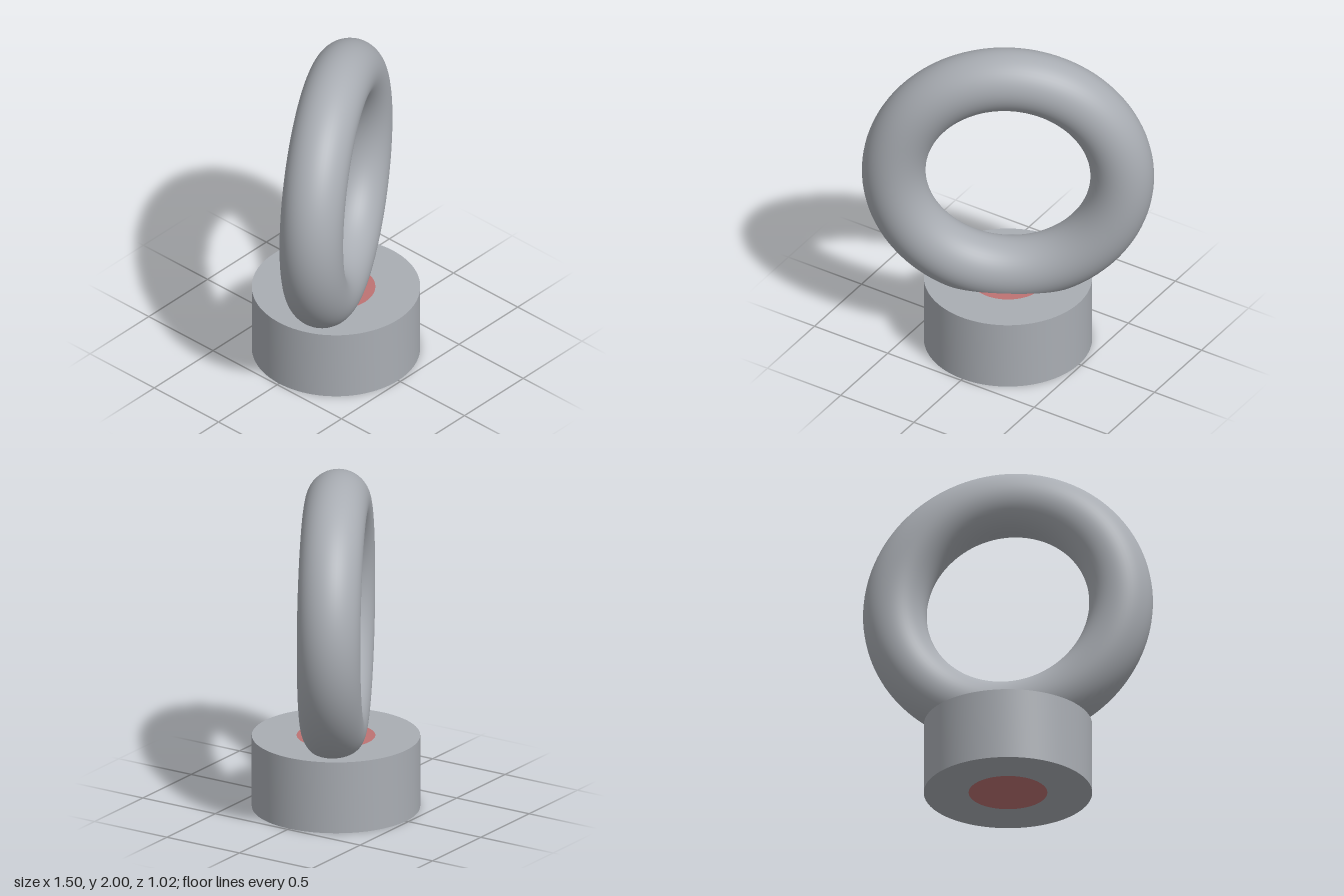
import * as THREE from 'three';
import { toCreasedNormals } from 'three/addons/utils/BufferGeometryUtils.js';

export function createModel() {
  const steel = new THREE.MeshStandardMaterial({ color: 0xa9adb3 });
  steel.name = 'steel grey';
  const red = new THREE.MeshStandardMaterial({ color: 0xbd7272 });
  red.name = 'dusty red';

  const baseRadius = 0.484, baseHeight = 0.43, coreRadius = 0.226;
  const ringRadius = 0.657, tubeRadius = 0.183;

  const model = new THREE.Group();
  model.name = 'eyeNut';
  const add = (name, geometry, material) => {
    const mesh = new THREE.Mesh(geometry, material);
    mesh.name = name;
    model.add(mesh);
    return mesh;
  };

  // Collar: a thick cylinder with a bore through it
  const profile = [
    [coreRadius, 0], [baseRadius, 0], [baseRadius, baseHeight],
    [coreRadius, baseHeight], [coreRadius, 0],
  ].map(([x, y]) => new THREE.Vector2(x, y));
  add('collar', toCreasedNormals(new THREE.LatheGeometry(profile, 96), 0.6), steel);

  // Core filling the bore, flush with both faces
  const core = add('core',
    new THREE.CylinderGeometry(coreRadius, coreRadius, baseHeight, 96), red);
  core.position.y = baseHeight / 2;

  // Lifting ring, sunk into the collar and turned about the upright axis
  const ring = add('liftingRing',
    new THREE.TorusGeometry(ringRadius, tubeRadius, 48, 128), steel);
  ring.position.y = 2 - ringRadius - tubeRadius;
  ring.rotation.y = Math.PI / 6;

  return model;
}
